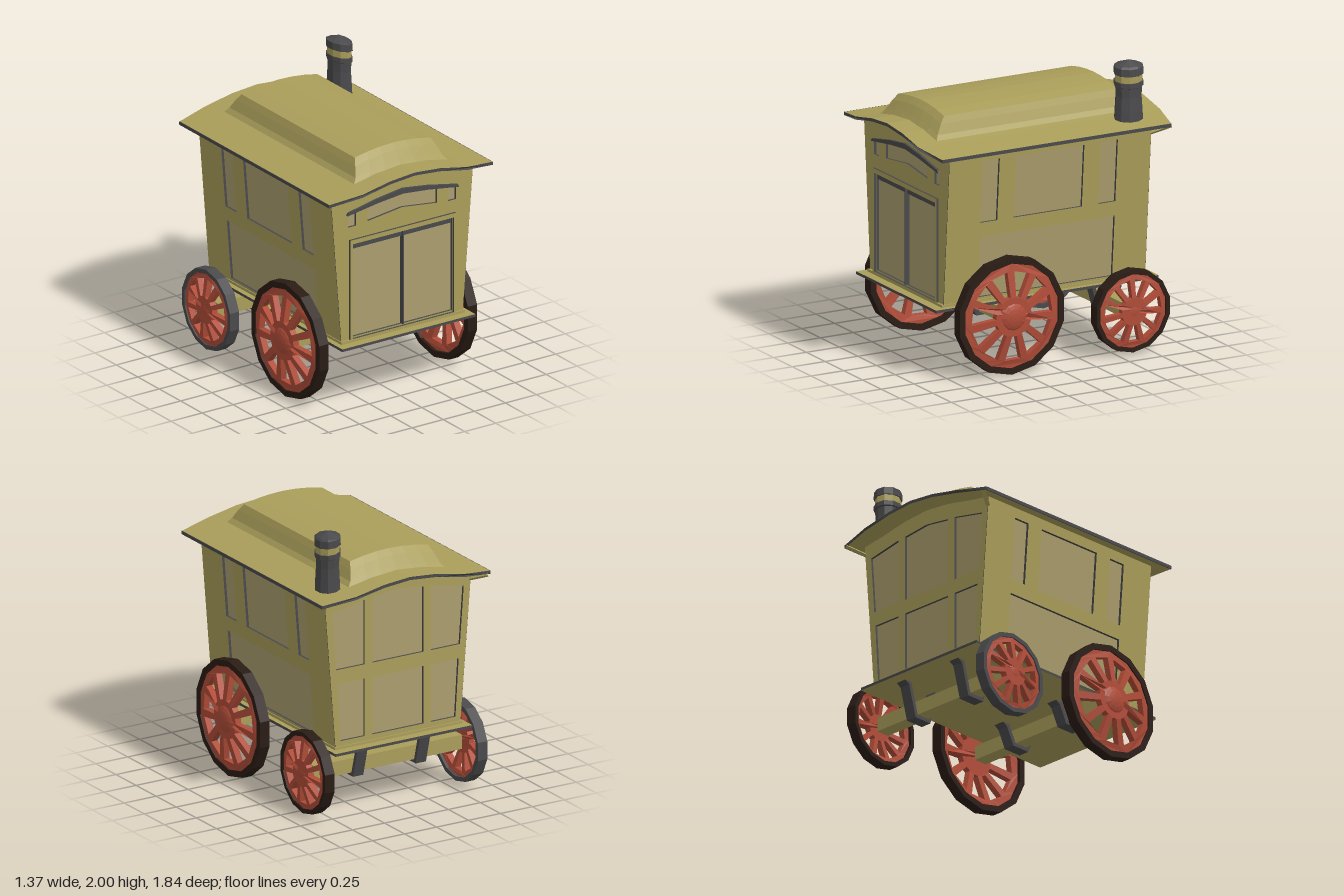
import * as THREE from 'three';

const mat = (color) => new THREE.MeshStandardMaterial({ color, flatShading: true });

export function createModel() {
  const root = new THREE.Group();
  const olive = mat(0xaa9e5a), panel = mat(0xab9d6e), dark = mat(0x4a494b);
  const red = mat(0xb04c38), tyreBrown = mat(0x2a1c15);

  const add = (name, geo, material, parent = root) => {
    const m = new THREE.Mesh(geo, material);
    m.name = name;
    parent.add(m);
    return m;
  };
  const box = (name, material, x0, x1, y0, y1, z0, z1) => {
    const m = add(name, new THREE.BoxGeometry(x1 - x0, y1 - y0, z1 - z0), material);
    m.position.set((x0 + x1) / 2, (y0 + y1) / 2, (z0 + z1) / 2);
    return m;
  };
  const poly = (pts, Type = THREE.Shape) => new Type(pts.map(([x, y]) => new THREE.Vector2(x, y)));
  const rect = (x0, x1, y0, y1) => [[x0, y0], [x1, y0], [x1, y1], [x0, y1]];
  const mirrorX = (pts) => pts.map(([x, y]) => [-x, y]).reverse();
  const extrude = (pts, holes, depth) => {
    const s = poly(pts);
    s.holes = holes.map((h) => poly(h, THREE.Path));
    return new THREE.ExtrudeGeometry(s, { depth, bevelEnabled: false });
  };
  const warp = (geo, rule) => {
    const p = geo.attributes.position, v = new THREE.Vector3();
    for (let i = 0; i < p.count; i++) {
      v.fromBufferAttribute(p, i);
      rule(v);
      p.setXYZ(i, v.x, v.y, v.z);
    }
    geo.computeVertexNormals();
    return geo;
  };

  // Shared curves: roof arch and wall flare
  const arch = [[0, 1.665], [0.2, 1.648], [0.42, 1.605], [0.655, 1.57]];
  const fullArch = (dy) => [...arch.slice(1).reverse().map(([x, y]) => [-x, y + dy]), ...arch.map(([x, y]) => [x, y + dy])];
  const halfW = (y) => 0.49 + (y - 0.5) * 0.08;
  const section = (inset) => [
    [-halfW(0.5) + inset, 0.5], [halfW(0.5) - inset, 0.5], [halfW(1.56) - inset, 1.56],
    [0.42, 1.587], [0.2, 1.63], [0, 1.647], [-0.2, 1.63], [-0.42, 1.587], [-halfW(1.56) + inset, 1.56],
  ];

  // Recessed panel core, then walls with panel openings over it
  add('panels', extrude(section(0.018), [], 1.506).translate(0, 0, -0.753), panel);
  const sideHoles = [
    rect(-0.51, 0.515, 0.53, 0.955), rect(-0.515, -0.385, 1.055, 1.49),
    rect(-0.26, 0.26, 1.055, 1.49), rect(0.385, 0.515, 1.055, 1.49),
  ];
  for (const s of [1, -1]) {
    const g = extrude(rect(-0.768, 0.768, 0.5, 1.56), sideHoles, 0.02).rotateY(Math.PI / 2);
    warp(g, (v) => { v.x += halfW(v.y) - 0.02; });
    add(s > 0 ? 'leftWall' : 'rightWall', g, [olive, dark]).rotation.y = s > 0 ? 0 : Math.PI;
  }
  const vent = [[0.37, 1.32], [0.435, 1.32], [0.435, 1.405], [0.37, 1.42]];
  const frontHoles = [
    rect(-0.4, 0.4, 0.53, 1.2), vent, mirrorX(vent),
    [[-0.28, 1.33], [0, 1.365], [0.28, 1.33], [0.28, 1.43], [0, 1.47], [-0.28, 1.43]],
  ];
  add('frontWall', extrude(section(0.002), frontHoles, 0.02).translate(0, 0, 0.75), [olive, dark]);
  const backLow = [[0.26, 0.55], [0.45, 0.55], [0.475, 0.955], [0.26, 0.955]];
  const backHigh = [[0.26, 1.055], [0.485, 1.055], [0.515, 1.46], [0.26, 1.51]];
  const backHoles = [
    rect(-0.2, 0.2, 0.55, 0.955), backLow, mirrorX(backLow), backHigh, mirrorX(backHigh),
    [[-0.2, 1.055], [0.2, 1.055], [0.2, 1.515], [0, 1.54], [-0.2, 1.515]],
  ];
  add('backWall', extrude(section(0.002), backHoles, 0.02).translate(0, 0, -0.77), [olive, dark]);

  // Doors and trim on the front
  add('doorFrame', extrude(rect(-0.425, 0.425, 0.505, 1.23), [rect(-0.405, 0.405, 0.52, 1.2)], 0.02)
    .translate(0, 0, 0.767), [olive, dark]);
  box('doorLintel', dark, -0.395, 0.395, 1.16, 1.197, 0.75, 0.768);
  box('doorGap', dark, -0.004, 0.004, 0.53, 1.23, 0.75, 0.786);
  add('archTrim', extrude([[-0.45, 1.41], [-0.2, 1.448], [0, 1.468], [0.2, 1.448], [0.45, 1.41],
    [0.44, 1.43], [0.2, 1.478], [0, 1.505], [-0.2, 1.478], [-0.44, 1.43]], [], 0.02).translate(0, 0, 0.767), dark);

  // Roof sheet with clipped corners
  const roof = extrude([...fullArch(-0.022), ...fullArch(0).reverse()], [], 1.84).translate(0, 0, -0.92);
  warp(roof, (v) => { v.z = Math.sign(v.z) * (0.92 - Math.max(0, Math.abs(v.x) - 0.42) * 0.2); });
  add('roof', roof, [dark, olive]);
  for (const s of [1, -1]) {
    box('roofEdge', dark, s * 0.656 - 0.003, s * 0.656 + 0.003, 1.547, 1.57, -0.873, 0.873);
    const line = new THREE.LineCurve3(new THREE.Vector3(s * 0.565, 1.5, -0.765), new THREE.Vector3(s * 0.635, 1.55, -0.885));
    add('eaveBracket', new THREE.TubeGeometry(line, 1, 0.014, 4), olive);
  }

  // Raised upper roof: half width, half depth, edge height, crown
  const rings = [[0.395, 0.77, 1.59, 0.05], [0.35, 0.735, 1.645, 0.045], [0.325, 0.695, 1.71, 0.04], [0.305, 0.66, 1.755, 0.035]];
  const upper = warp(new THREE.BoxGeometry(2, 3, 2, 6, 3, 1), (v) => {
    const [hx, hz, y, c] = rings[Math.round(v.y + 1.5)];
    v.set(v.x * hx, y + c * (1 - v.x * v.x), v.z * hz);
  });
  add('upperRoof', upper, olive);

  // Oval chimney, slightly slanted toward the top
  const chimney = new THREE.Group();
  chimney.name = 'chimney';
  chimney.position.set(0.475, 0, -0.65);
  root.add(chimney);
  const chimneyPart = (name, pts, material) => {
    const g = new THREE.LatheGeometry(pts.map(([r, y]) => new THREE.Vector2(r, y)), 10).scale(0.78, 1, 1);
    warp(g, (v) => { v.y -= v.x * 0.16 * THREE.MathUtils.clamp((1.98 - v.y) * 50, 0, 1) * (v.y > 1.7 ? 1 : 0); });
    add(name, g, material, chimney);
  };
  chimneyPart('chimneyPipe', [[0.105, 1.57], [0.1, 1.65], [0.093, 1.76], [0.096, 1.825], [0.106, 1.83], [0.106, 1.862], [0, 1.862]], dark);
  chimneyPart('chimneyBand', [[0.098, 1.86], [0.098, 1.912]], olive);
  chimneyPart('chimneyCap', [[0, 1.905], [0.107, 1.91], [0.105, 1.96], [0.09, 1.968], [0, 2.0]], dark);

  // Floor platform
  const edged = [dark, dark, olive, olive, dark, dark];
  box('platform', edged, -0.535, 0.535, 0.478, 0.497, -0.845, 0.85);
  box('sill', olive, -0.497, 0.497, 0.495, 0.515, -0.78, 0.785);

  // Axles with straps, and spoked wheels
  const ring = (r, n, off = 0) => Array.from({ length: n }, (_, i) => {
    const a = off + (i / n) * Math.PI * 2;
    return [r * Math.sin(a), r * Math.cos(a)];
  }).reverse();
  const wheel = (R, tyreMaterial) => {
    const g = new THREE.Group(), k = R / 0.405, n = 11;
    g.name = 'wheel';
    add('tyre', extrude(ring(R, 14), [ring(0.362 * k, 14)], 0.075).rotateY(Math.PI / 2).translate(0.56, 0, 0), tyreMaterial, g);
    const gaps = Array.from({ length: n }, (_, i) => {
      const c = 0.26 + (i / n) * Math.PI * 2;
      return [[0.135, -0.13], [0.135, 0.13], [0.308, 0.2], [0.308, -0.2]]
        .map(([r, a]) => [r * k * Math.sin(c + a), r * k * Math.cos(c + a)]);
    });
    const disc = extrude(ring(0.37 * k, 28), gaps, 0.045).rotateY(Math.PI / 2);
    warp(disc, (v) => { v.x += 0.58 + 0.06 * k * (1 - Math.hypot(v.y, v.z) / (0.37 * k)); });
    add('spokes', disc, red, g);
    const hub = new THREE.SphereGeometry(0.115 * k, 12, 6, 0, Math.PI * 2, 0, Math.PI / 2).rotateZ(-Math.PI / 2);
    add('hub', hub.scale(0.45, 1, 1).translate(0.585 + 0.048 * k, 0, 0), red, g);
    return g;
  };
  for (const [R, y, z] of [[0.405, 0.41, 0.33], [0.285, 0.31, -0.595]]) {
    box('axle', olive, -0.58, 0.58, y - 0.05, y + 0.05, z - 0.05, z + 0.05);
    for (const s of [1, -1]) {
      const b = y - 0.075, t = 0.48;
      const strap = extrude([[-0.17, t], [-0.13, t - 0.025], [-0.07, b], [0.07, b], [0.13, t - 0.025], [0.17, t],
        [0.11, t], [0.05, b + 0.025], [-0.05, b + 0.025], [-0.11, t]], [], 0.08).rotateY(Math.PI / 2);
      add('axleStrap', strap.translate(s * 0.245 - 0.04, 0, z), dark);
      const w = wheel(R, s < 0 && z < 0 ? dark : tyreBrown);
      w.position.set(0, y, z);
      w.rotation.y = s > 0 ? 0 : Math.PI;
      root.add(w);
    }
  }
  return root;
}
